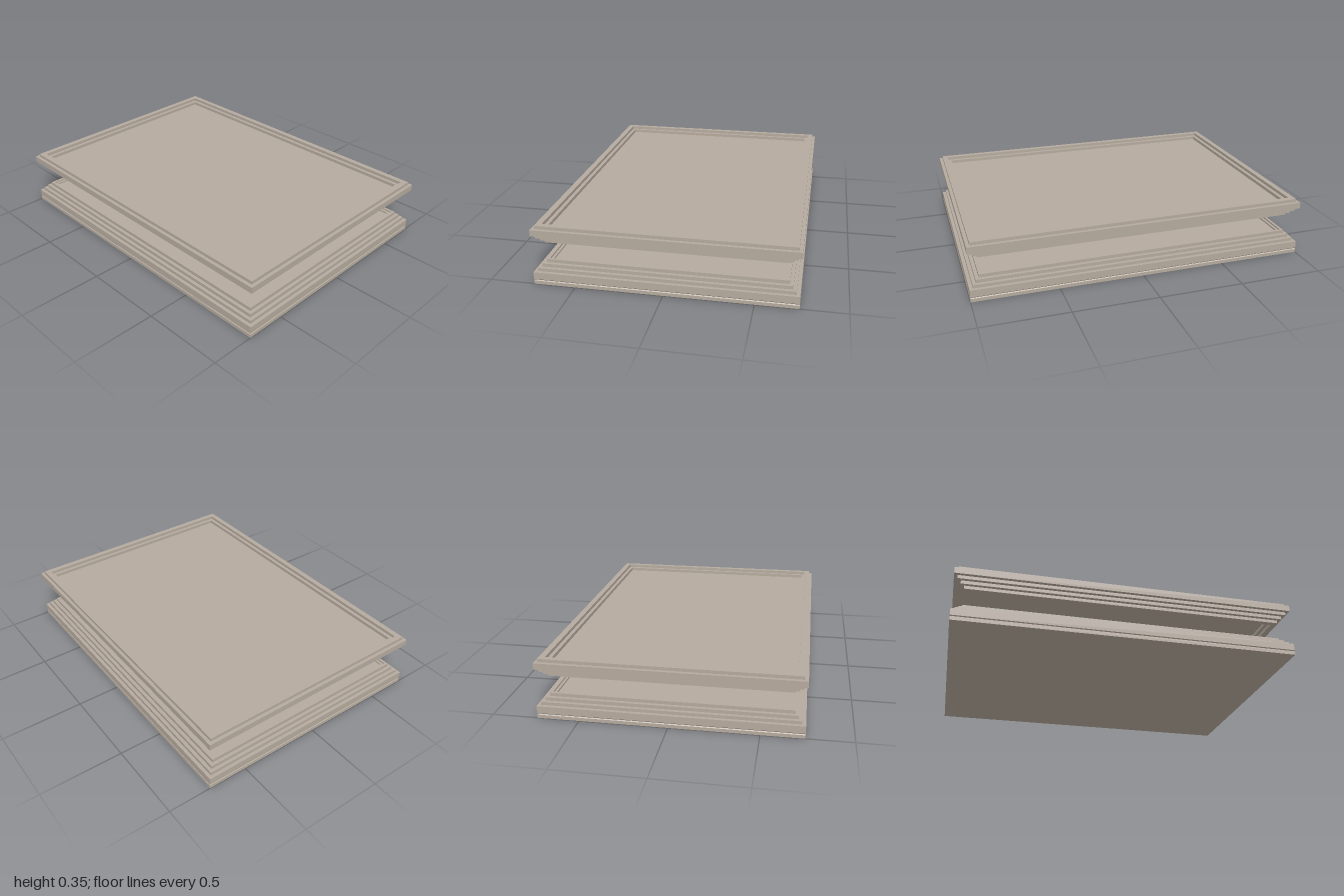
import * as THREE from 'three';

const HALF_X = 0.74, HALF_Z = 1;

// Sweeps a moulding profile of [inset, y] points around a rectangle and caps both ends.
function moulding(name, profile, material) {
  const rings = profile.map(([inset, y]) =>
    [[1, 1], [1, -1], [-1, -1], [-1, 1]].map(([sx, sz]) =>
      [sx * (HALF_X - inset), y, sz * (HALF_Z - inset)]));
  const positions = [];
  const quad = (a, b, c, d) => positions.push(...a, ...b, ...c, ...a, ...c, ...d);

  for (let r = 0; r < rings.length - 1; r++) {
    for (let i = 0; i < 4; i++) {
      const j = (i + 1) % 4;
      quad(rings[r][i], rings[r][j], rings[r + 1][j], rings[r + 1][i]);
    }
  }
  const first = rings[0], last = rings[rings.length - 1];
  quad(first[3], first[2], first[1], first[0]);
  quad(...last);

  const geometry = new THREE.BufferGeometry();
  geometry.setAttribute('position', new THREE.Float32BufferAttribute(positions, 3));
  geometry.computeVertexNormals();
  const mesh = new THREE.Mesh(geometry, material);
  mesh.name = name;
  return mesh;
}

export function createModel() {
  const stone = new THREE.MeshStandardMaterial({ color: 0xb5aa9e });
  stone.name = 'warm grey stone';

  const model = new THREE.Group();
  model.name = 'steppedSlabs';

  // Lower slab: grooved foot, three steps up, shallow tray on top
  model.add(moulding('baseSlab', [
    [0, 0], [0, 0.02], [0.004, 0.025], [0, 0.03], [0, 0.072],
    [0.02, 0.072], [0.02, 0.091],
    [0.04, 0.091], [0.04, 0.111],
    [0.06, 0.111], [0.06, 0.131],
    [0.075, 0.131], [0.075, 0.121],
    [0.09, 0.121], [0.09, 0.111],
  ], stone));

  // Upper slab: recessed underside, steps flaring outward, rim and recessed top
  model.add(moulding('capSlab', [
    [0.11, 0.275], [0.11, 0.255],
    [0.09, 0.255], [0.09, 0.235],
    [0.06, 0.235], [0.06, 0.254],
    [0.04, 0.254], [0.04, 0.274],
    [0.02, 0.274], [0.02, 0.294],
    [0, 0.294], [0, 0.331],
    [0.02, 0.331], [0.02, 0.35],
    [0.053, 0.35], [0.053, 0.331],
    [0.075, 0.331], [0.075, 0.311],
  ], stone));

  return model;
}
